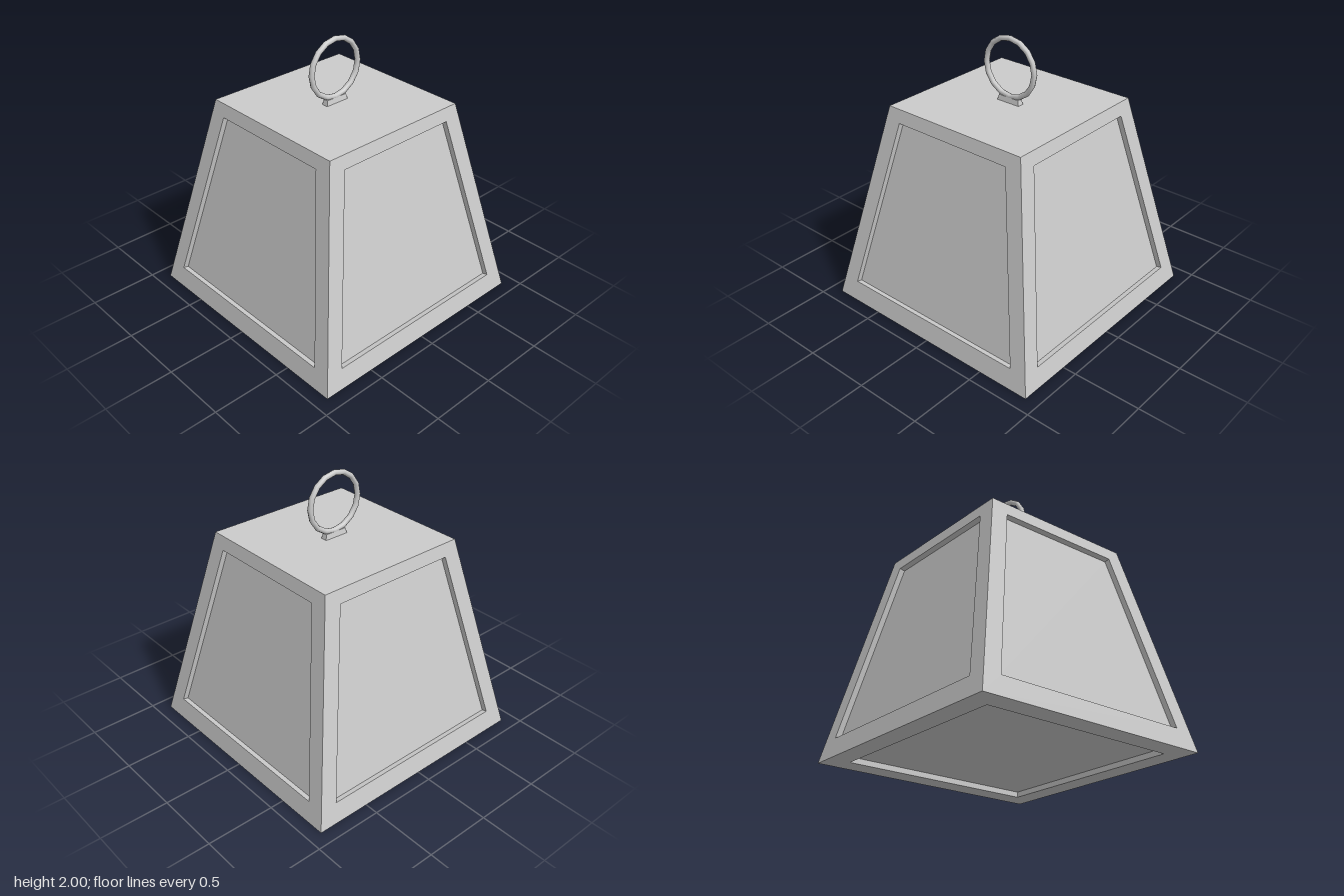
import * as THREE from 'three';

const material = new THREE.MeshStandardMaterial({ color: 0xcccccc, flatShading: true });
const smooth = new THREE.MeshStandardMaterial({ color: 0xcccccc });

const BASE = 0.9, TOP = 0.58, HEIGHT = 1.52, DEPTH = 0.04;
const v = (x, y, z) => new THREE.Vector3(x, y, z);

// Flat-faced geometry from quads, corners counter-clockwise seen from outside
function quadGeometry(quads) {
  const points = quads.flatMap(([a, b, c, d]) => [a, b, c, a, c, d]);
  const geometry = new THREE.BufferGeometry().setFromPoints(points);
  geometry.computeVertexNormals();
  return geometry;
}

// A frame between outer and inner corners, with a panel sunk behind it
function recessedFace(outer, inner) {
  const normal = new THREE.Triangle(...outer.slice(0, 3)).getNormal(v(0, 0, 0));
  const sunk = inner.map((p) => p.clone().addScaledVector(normal, -DEPTH));
  const quads = [sunk];
  for (let i = 0; i < 4; i++) {
    const j = (i + 1) % 4;
    quads.push([outer[i], outer[j], inner[j], inner[i]]);
    quads.push([inner[i], inner[j], sunk[j], sunk[i]]);
  }
  return quadGeometry(quads);
}

function add(parent, name, geometry, mat = material) {
  const mesh = new THREE.Mesh(geometry, mat);
  mesh.name = name;
  parent.add(mesh);
  return mesh;
}

export function createModel() {
  const group = new THREE.Group();
  group.name = 'weight';
  const body = new THREE.Group();
  body.name = 'body';
  group.add(body);

  // Four sloping sides with sunk panels
  const onSlope = (x, y) => v(x, y, BASE + (TOP - BASE) * (y / HEIGHT));
  const trapezoid = (w0, y0, w1, y1) =>
    [onSlope(-w0, y0), onSlope(w0, y0), onSlope(w1, y1), onSlope(-w1, y1)];
  const side = recessedFace(
    trapezoid(BASE, 0, TOP, HEIGHT),
    trapezoid(0.743, 0.145, 0.473, 1.425)
  );
  ['frontSide', 'leftSide', 'backSide', 'rightSide'].forEach((name, i) => {
    add(body, name, side).rotation.y = (i * Math.PI) / 2;
  });

  // Underside with a sunk panel, and the plain top
  const square = (s) => [v(-s, 0, -s), v(s, 0, -s), v(s, 0, s), v(-s, 0, s)];
  add(body, 'underside', recessedFace(square(BASE), square(0.743)));
  add(body, 'topFace', new THREE.PlaneGeometry(TOP * 2, TOP * 2).rotateX(-Math.PI / 2))
    .position.y = HEIGHT;

  // Small tapered foot holding the ring
  const foot = new THREE.BoxGeometry(0.19, 0.04, 0.05);
  const p = foot.attributes.position;
  for (let i = 0; i < p.count; i++) {
    if (p.getY(i) > 0) p.setXYZ(i, p.getX(i) * 0.9, p.getY(i), p.getZ(i) * 0.7);
  }
  foot.computeVertexNormals();
  add(group, 'ringFoot', foot).position.y = HEIGHT + 0.018;

  // Lifting ring
  add(group, 'ring', new THREE.TorusGeometry(0.21, 0.02, 8, 16), smooth).position.y = 1.77;

  return group;
}
